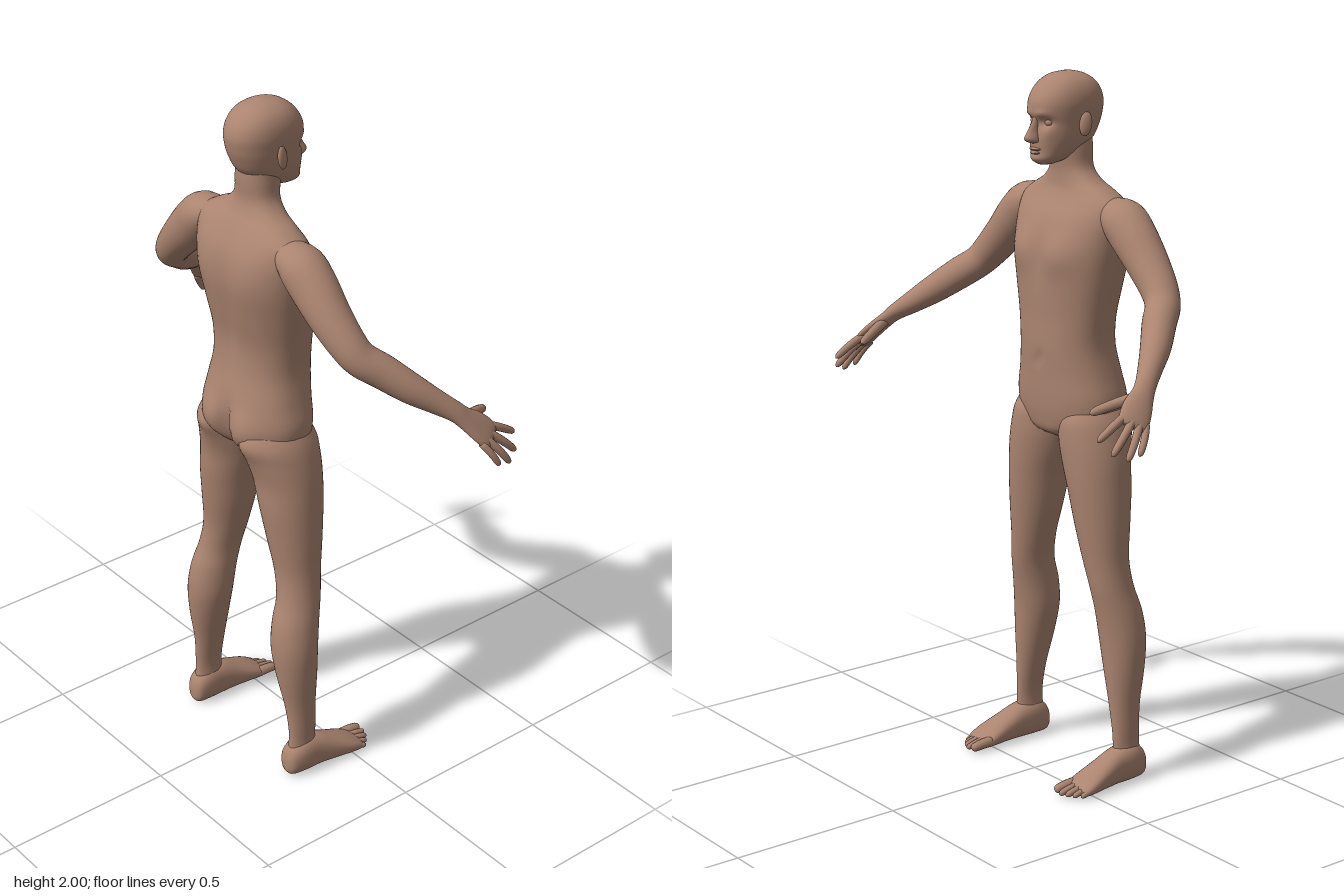
import * as THREE from 'three';

const skin = new THREE.MeshStandardMaterial({ color: 0xab8470 });
skin.name = 'skin';

const spline = (a, b, c, d, t) =>
  b + 0.5 * t * (c - a + t * (2 * a - 5 * b + 4 * c - d + t * (3 * (b - c) + d - a)));

// Smooth closed skin through oval rings [x, y, z, a, b]; a runs along `ref`, b across it.
// With `axis` all rings are parallel, otherwise they follow the path.
function loft(rows, { ref = [1, 0, 0], axis = null, n = 2, seg = 32, sub = 4 } = {}) {
  const last = rows.length - 1, rings = [];
  for (let i = 0; i < last; i++) {
    for (let k = 0; k < sub; k++) {
      rings.push(rows[i].map((v, c) => spline(
        rows[Math.max(i - 1, 0)][c], v, rows[i + 1][c], rows[Math.min(i + 2, last)][c], k / sub)));
    }
  }
  rings.push(rows[last]);
  const centres = rings.map((r) => new THREE.Vector3(r[0], r[1], r[2]));
  const pos = [], index = [], end = rings.length - 1;
  rings.forEach((r, i) => {
    const t = axis ? new THREE.Vector3(...axis)
      : centres[Math.min(i + 1, end)].clone().sub(centres[Math.max(i - 1, 0)]).normalize();
    const u = new THREE.Vector3(...ref);
    u.addScaledVector(t, -u.dot(t)).normalize();
    const v = t.clone().cross(u);
    for (let j = 0; j < seg; j++) {
      const c = Math.cos((j / seg) * Math.PI * 2), s = Math.sin((j / seg) * Math.PI * 2);
      const p = centres[i].clone()
        .addScaledVector(u, r[3] * Math.sign(c) * Math.abs(c) ** (2 / n))
        .addScaledVector(v, r[4] * Math.sign(s) * Math.abs(s) ** (2 / n));
      pos.push(p.x, p.y, p.z);
      const k = (j + 1) % seg, A = i * seg, B = A + seg;
      if (i < end) index.push(A + j, A + k, B + k, A + j, B + k, B + j);
    }
  });
  const first = pos.length / 3;
  pos.push(...centres[0].toArray(), ...centres[end].toArray());
  for (let j = 0; j < seg; j++) {
    const k = (j + 1) % seg;
    index.push(first, k, j, first + 1, end * seg + j, end * seg + k);
  }
  const g = new THREE.BufferGeometry();
  g.setAttribute('position', new THREE.Float32BufferAttribute(pos, 3));
  g.setIndex(index);
  g.computeVertexNormals();
  return g;
}

// Soft pushes along z: [x, y, z, rx, ry, rz, amount], applied on both sides of the body
function sculpt(g, bumps) {
  const p = g.attributes.position;
  for (let i = 0; i < p.count; i++) {
    const x = Math.abs(p.getX(i)), y = p.getY(i), z = p.getZ(i);
    let dz = 0;
    for (const [cx, cy, cz, rx, ry, rz, amount] of bumps) {
      dz += amount * Math.exp(-(((x - cx) / rx) ** 2) - ((y - cy) / ry) ** 2 - ((z - cz) / rz) ** 2);
    }
    p.setZ(i, z + dz);
  }
  g.computeVertexNormals();
  return g;
}

// Level rings given as [y, half width, front z, back z, centre x]
const level = (rows, s = 1) =>
  rows.map(([y, w, f, b, x = 0]) => [s * x, y, (f + b) / 2, w, (b - f) / 2]);
const UP = [0, 1, 0];

export function createModel() {
  const model = new THREE.Group();
  model.name = 'figure';
  const add = (name, geometry) => {
    const m = new THREE.Mesh(geometry, skin);
    m.name = name;
    model.add(m);
    return m;
  };
  const ball = (name, x, y, z, sx, sy, sz) => {
    const m = add(name, new THREE.SphereGeometry(1, 20, 14));
    m.position.set(x, y, z);
    m.scale.set(sx, sy, sz);
    return m;
  };
  // Rounded digit along a bent path
  const digit = (name, a, b, c, r, s) => {
    const curve = new THREE.QuadraticBezierCurve3(...[a, b, c].map((p) => new THREE.Vector3(s * p[0], p[1], p[2])));
    const rows = [[0, 1], [0.3, 1], [0.6, 0.95], [0.85, 0.85], [0.95, 0.6], [1, 0.1]]
      .map(([t, k]) => [...curve.getPoint(t).toArray(), r * k, r * k]);
    add(name, loft(rows, { ref: [s * 0.78, 0.6, -0.1], seg: 12, sub: 2 }));
  };

  // Chest, buttock, spine and navel shaping
  const bodyForms = [
    [0.085, 1.51, 0.0, 0.065, 0.055, 0.06, -0.014],
    [0, 1.5, 0.0, 0.02, 0.09, 0.05, 0.008],
    [0.075, 1.075, 0.25, 0.06, 0.065, 0.08, 0.022],
    [0, 1.06, 0.25, 0.018, 0.07, 0.08, -0.03],
    [0, 1.4, 0.24, 0.025, 0.2, 0.05, -0.012],
    [0.1, 1.55, 0.24, 0.06, 0.09, 0.05, 0.006],
    [0, 1.21, 0.01, 0.01, 0.014, 0.03, 0.009],
  ];

  // Torso with neck
  add('torso', sculpt(loft(level([
    [0.972, 0.02, 0.1, 0.15], [1.0, 0.1, 0.04, 0.2], [1.04, 0.165, 0.025, 0.235],
    [1.1, 0.18, 0.018, 0.246], [1.17, 0.165, 0.015, 0.24], [1.25, 0.151, 0.01, 0.225],
    [1.33, 0.157, 0.01, 0.222], [1.42, 0.172, 0.006, 0.238], [1.5, 0.186, 0.008, 0.25],
    [1.56, 0.194, 0.018, 0.25], [1.61, 0.198, 0.036, 0.24], [1.65, 0.192, 0.06, 0.222],
    [1.68, 0.15, 0.074, 0.205], [1.705, 0.1, 0.078, 0.19], [1.74, 0.067, 0.078, 0.18],
    [1.79, 0.06, 0.07, 0.182], [1.84, 0.055, 0.07, 0.18],
  ]), { axis: UP, n: 2.3, seg: 64 }), bodyForms));

  // Head with eye sockets, brow, cheeks and chin
  add('head', sculpt(loft(level([
    [1.752, 0.018, 0.015, 0.06], [1.765, 0.04, -0.001, 0.1], [1.79, 0.056, -0.001, 0.15],
    [1.82, 0.067, -0.002, 0.188], [1.86, 0.075, 0.002, 0.208], [1.89, 0.079, -0.004, 0.216],
    [1.92, 0.081, -0.004, 0.218], [1.95, 0.076, 0.01, 0.208], [1.975, 0.062, 0.033, 0.187],
    [1.992, 0.038, 0.063, 0.157], [2.0, 0.005, 0.1, 0.12],
  ]), { axis: UP, n: 2.2, seg: 64, sub: 6 }), [
    [0.031, 1.868, 0.01, 0.018, 0.013, 0.04, 0.014],
    [0.026, 1.892, 0, 0.025, 0.01, 0.03, -0.005],
    [0.045, 1.84, 0.015, 0.018, 0.018, 0.03, -0.004],
    [0, 1.77, 0, 0.02, 0.01, 0.03, -0.004],
  ]));
  add('nose', loft(level([
    [1.811, 0.006, -0.01, 0.02], [1.816, 0.016, -0.026, 0.02], [1.826, 0.016, -0.034, 0.02],
    [1.845, 0.01, -0.023, 0.02], [1.868, 0.008, -0.01, 0.02], [1.888, 0.007, -0.002, 0.02],
  ]), { axis: UP, seg: 20 }));
  ball('upperLip', 0, 1.795, 0.002, 0.022, 0.005, 0.012);
  ball('lowerLip', 0, 1.785, 0.002, 0.019, 0.005, 0.011);

  for (const s of [1, -1]) {
    const side = s > 0 ? 'left' : 'right';
    ball(side + 'Eye', s * 0.031, 1.868, 0.026, 0.014, 0.011, 0.012);
    const ear = ball(side + 'Ear', s * 0.083, 1.862, 0.11, 0.009, 0.033, 0.018);
    ear.rotation.set(0.15, s * 0.35, 0);

    // Leg from ankle to hip
    add(side + 'Leg', sculpt(loft(level([
      [0.04, 0.033, 0.115, 0.205, 0.222], [0.1, 0.027, 0.113, 0.2, 0.222],
      [0.15, 0.028, 0.111, 0.199, 0.221], [0.23, 0.037, 0.107, 0.205, 0.213],
      [0.33, 0.054, 0.1, 0.222, 0.204], [0.42, 0.065, 0.094, 0.23, 0.195],
      [0.5, 0.062, 0.083, 0.221, 0.188], [0.57, 0.057, 0.069, 0.2, 0.179],
      [0.65, 0.063, 0.058, 0.192, 0.163], [0.75, 0.077, 0.045, 0.203, 0.148],
      [0.85, 0.088, 0.034, 0.215, 0.134], [0.93, 0.098, 0.028, 0.22, 0.119],
      [1.0, 0.1, 0.026, 0.234, 0.106], [1.06, 0.088, 0.035, 0.24, 0.1],
      [1.13, 0.045, 0.09, 0.19, 0.1],
    ], s), { axis: UP, seg: 40 }), bodyForms));

    // Foot and toes
    add(side + 'Foot', loft([
      [0.222, 0.035, 0.217, 0.012, 0.016], [0.222, 0.045, 0.205, 0.031, 0.042],
      [0.224, 0.055, 0.165, 0.04, 0.055], [0.225, 0.051, 0.11, 0.041, 0.051],
      [0.228, 0.04, 0.06, 0.045, 0.04], [0.23, 0.028, 0.01, 0.05, 0.028],
      [0.23, 0.019, -0.022, 0.049, 0.018], [0.23, 0.016, -0.036, 0.04, 0.011],
    ].map(([x, ...r]) => [s * x, ...r]), { axis: [0, 0, -1], n: 2.4 }));
    [[0.195, -0.08, 0.015], [0.217, -0.082, 0.01], [0.236, -0.074, 0.01],
      [0.253, -0.062, 0.009], [0.269, -0.046, 0.009]].forEach(([x, z, r], i) =>
      digit(side + 'Toe' + (i + 1), [x, 0.022, z + 0.07], [x, 0.022, z + 0.03], [x, r, z], r, s));

    // Arm from shoulder through wrist to a flat palm
    add(side + 'Arm', loft([
      [0.13, 1.635, 0.145, 0.03, 0.045], [0.2, 1.612, 0.145, 0.06, 0.064],
      [0.25, 1.57, 0.143, 0.065, 0.063], [0.31, 1.51, 0.14, 0.058, 0.058],
      [0.37, 1.45, 0.13, 0.051, 0.051], [0.405, 1.412, 0.112, 0.046, 0.048],
      [0.44, 1.378, 0.07, 0.046, 0.046], [0.49, 1.33, 0.015, 0.041, 0.041],
      [0.53, 1.29, -0.037, 0.032, 0.033], [0.56, 1.26, -0.077, 0.023, 0.029],
      [0.575, 1.238, -0.1, 0.019, 0.031], [0.592, 1.209, -0.132, 0.016, 0.041],
      [0.607, 1.182, -0.157, 0.013, 0.042], [0.613, 1.17, -0.168, 0.007, 0.034],
    ].map(([x, ...r]) => [s * x, ...r]), { ref: [s * 0.78, 0.6, -0.1] }));

    // Fingers and thumb
    digit(side + 'IndexFinger', [0.588, 1.202, -0.16], [0.597, 1.178, -0.215], [0.593, 1.143, -0.265], 0.0115, s);
    digit(side + 'MiddleFinger', [0.603, 1.19, -0.153], [0.623, 1.155, -0.2], [0.625, 1.108, -0.243], 0.0115, s);
    digit(side + 'RingFinger', [0.613, 1.178, -0.142], [0.64, 1.14, -0.177], [0.643, 1.092, -0.207], 0.011, s);
    digit(side + 'LittleFinger', [0.618, 1.17, -0.125], [0.643, 1.138, -0.148], [0.644, 1.1, -0.168], 0.01, s);
    digit(side + 'Thumb', [0.573, 1.235, -0.105], [0.545, 1.222, -0.16], [0.515, 1.195, -0.227], 0.0145, s);
  }
  return model;
}
